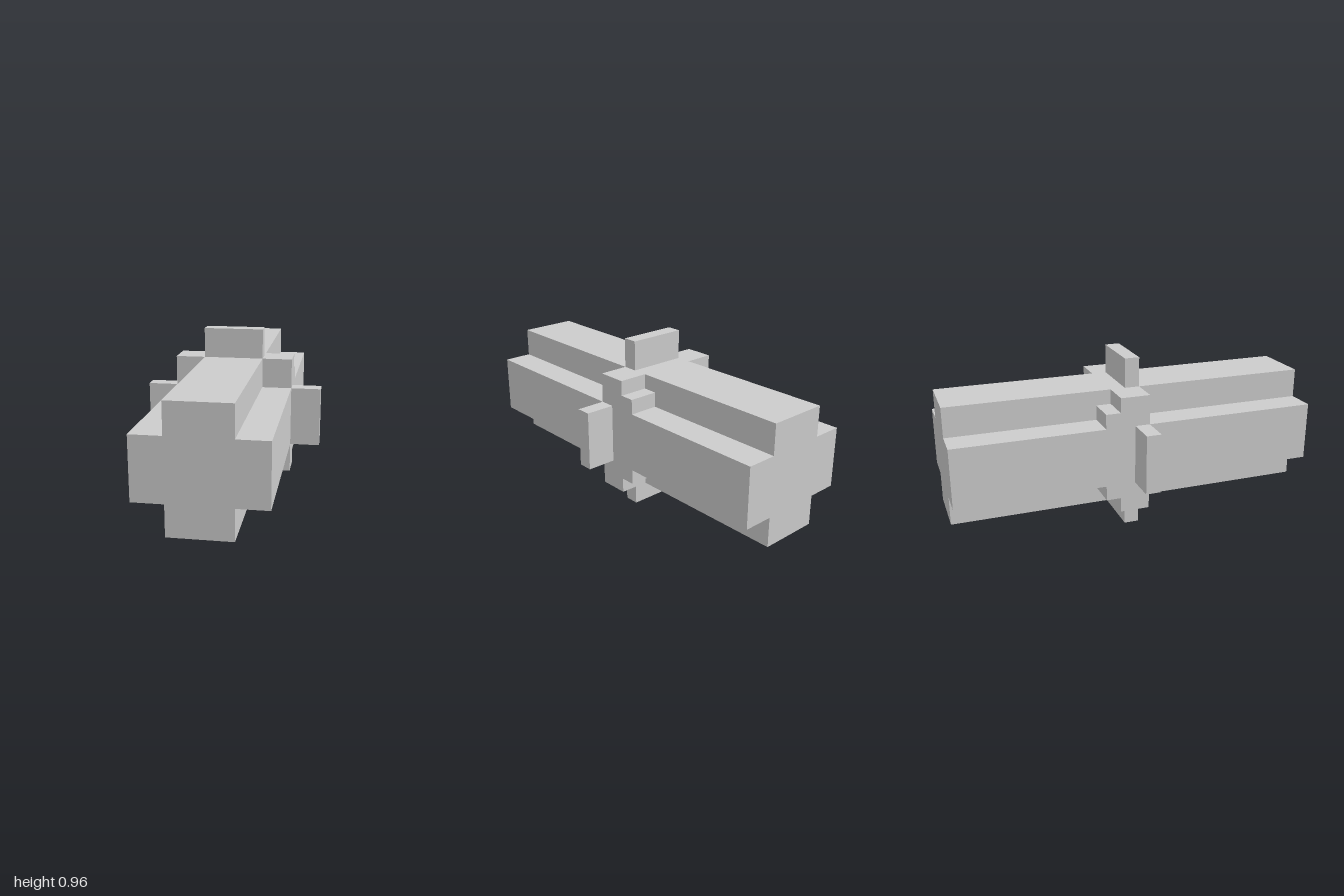
import * as THREE from 'three';

const U = 0.16; // basic unit of the cross-section
const CENTRE_Y = 3 * U;

export function createModel() {
  const group = new THREE.Group();
  group.name = 'crossBeam';
  const material = new THREE.MeshStandardMaterial({ color: 0xcccccc, flatShading: true });

  const add = (name, geometry, x = 0, y = 0, z = 0) => {
    const mesh = new THREE.Mesh(geometry, material);
    mesh.name = name;
    mesh.position.set(x, CENTRE_Y + y, z);
    group.add(mesh);
  };
  const extrude = (points, depth) => new THREE.ExtrudeGeometry(
    new THREE.Shape(points.map(([x, y]) => new THREE.Vector2(x, y))),
    { depth, bevelEnabled: false });

  // Long beam with a plus-shaped cross-section
  const plus = [
    [2, 1], [1, 1], [1, 2], [-1, 2], [-1, 1], [-2, 1],
    [-2, -1], [-1, -1], [-1, -2], [1, -2], [1, -1], [2, -1],
  ].map(([x, y]) => [x * U, y * U]);
  add('beam', extrude(plus, 2), 0, 0, -1);

  for (const [side, s] of [['Left', 1], ['Right', -1]]) {
    // Stepped blocks filling the four notches, stepping down towards the back
    for (const [level, v] of [['upper', 1], ['lower', -1]]) {
      const profile = [[-0.04, 0.16], [0.2, 0.16], [0.2, 0.24], [0.12, 0.24], [0.12, 0.32], [-0.04, 0.32]]
        .map(([back, y]) => [back, y * v]);
      const block = extrude(profile, U).rotateY(Math.PI / 2);
      add(`${level}${side}Block`, block, s > 0 ? U : -2 * U);
    }
    // Side fins
    add(`fin${side}`, new THREE.BoxGeometry(U, 2 * U, 0.08), s * 2.5 * U);
  }

  // Top and bottom fins
  for (const [name, v] of [['finTop', 1], ['finBottom', -1]]) {
    add(name, new THREE.BoxGeometry(2 * U, U, 0.08), 0, v * 2.5 * U);
  }

  return group;
}
